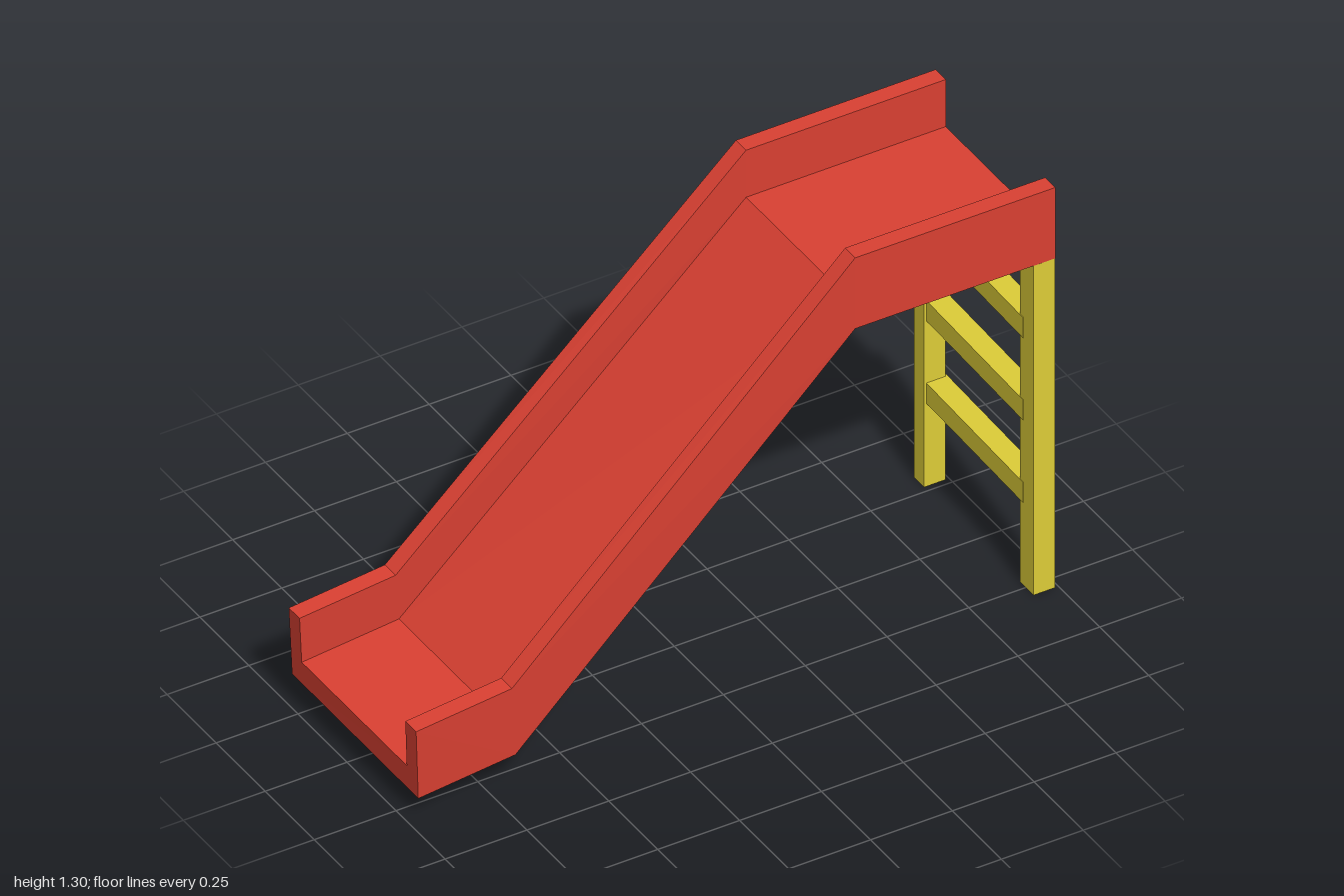
import * as THREE from 'three';

const red = new THREE.MeshStandardMaterial({ color: 0xd94032, flatShading: true });
const yellow = new THREE.MeshStandardMaterial({ color: 0xddcc38, flatShading: true });

// U-shaped profile as fractions (across, up), running around the outline
const PROFILE = [[0, 0], [1, 0], [1, 1], [0.915, 1], [0.915, 0.335], [0.085, 0.335], [0.085, 1], [0, 1]];

// Corners of each station: back bottom, front bottom, front top, back top
const STATIONS = [
  [[0.99, 1.07, -0.32], [0.99, 1.07, 0.29], [0.99, 1.3, 0.29], [0.99, 1.3, -0.32]],
  [[0.38, 1.07, -0.32], [0.38, 1.07, 0.288], [0.38, 1.3, 0.288], [0.38, 1.3, -0.32]],
  [[-0.68, 0.11, -0.315], [-0.665, 0.087, 0.3], [-0.68, 0.312, 0.307], [-0.7, 0.335, -0.308]],
  [[-0.985, 0.09, -0.305], [-0.968, 0.065, 0.31], [-0.98, 0.292, 0.319], [-1.0, 0.315, -0.297]],
];

function ring(corners) {
  const [bb, fb, ft, bt] = corners.map((c) => new THREE.Vector3(...c));
  return PROFILE.map(([u, v]) => bb.clone().lerp(fb, u).lerp(bt.clone().lerp(ft, u), v));
}

function chuteGeometry() {
  const rings = STATIONS.map(ring);
  const pos = [];
  const quad = (a, b, c, d) => [a, b, c, a, c, d].forEach((p) => pos.push(p.x, p.y, p.z));
  for (let s = 0; s < rings.length - 1; s++) {
    const a = rings[s], b = rings[s + 1];
    for (let i = 0; i < 8; i++) {
      const j = (i + 1) % 8;
      quad(a[i], a[j], b[j], b[i]);
    }
  }
  // End caps: two walls and the floor
  const first = rings[0], last = rings[rings.length - 1];
  for (const [a, b, c, d] of [[1, 2, 3, 4], [0, 1, 4, 5], [0, 5, 6, 7]]) {
    quad(last[a], last[b], last[c], last[d]);
    quad(first[d], first[c], first[b], first[a]);
  }
  const geo = new THREE.BufferGeometry();
  geo.setAttribute('position', new THREE.Float32BufferAttribute(pos, 3));
  geo.computeVertexNormals();
  return geo;
}

function box(name, size, position) {
  const mesh = new THREE.Mesh(new THREE.BoxGeometry(...size), yellow);
  mesh.name = name;
  mesh.position.set(...position);
  return mesh;
}

export function createModel() {
  const model = new THREE.Group();
  model.name = 'playgroundSlide';

  // Platform, sloping chute and run-out in one piece
  const chute = new THREE.Mesh(chuteGeometry(), red);
  chute.name = 'chute';
  model.add(chute);

  // Ladder under the platform edge
  const ladder = new THREE.Group();
  ladder.name = 'ladder';
  ladder.add(box('frontPost', [0.065, 1.07, 0.07], [0.956, 0.535, 0.255]));
  ladder.add(box('backPost', [0.065, 1.07, 0.052], [0.956, 0.535, -0.294]));

  // Rungs sit slightly askew, poking out of the back post
  [[0.303, -0.316], [0.571, -0.316], [0.838, -0.306]].forEach(([y, end], i) => {
    const length = 0.24 - end;
    const rung = box('rung' + (i + 1), [0.065, 0.066, length], [0.959, y, (0.24 + end) / 2]);
    rung.rotation.y = -0.018;
    ladder.add(rung);
  });
  model.add(ladder);
  return model;
}
